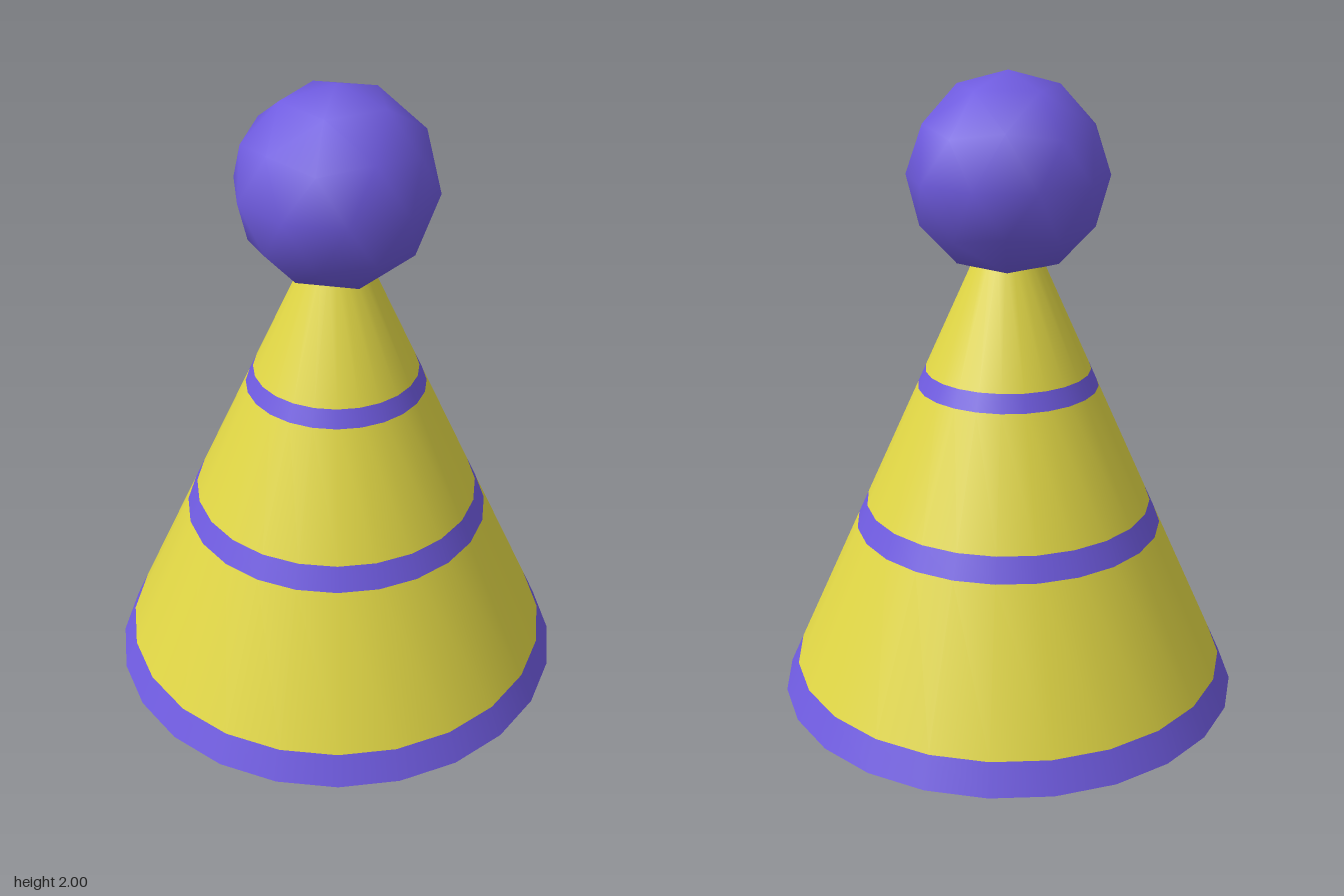
import * as THREE from 'three';

const SIDES = 24;
const purple = new THREE.MeshStandardMaterial({ color: 0x6f5be0 });
const yellow = new THREE.MeshStandardMaterial({ color: 0xe0d645 });

// Radius of the cone's outer wall at height y
const radiusAt = (y) => 0.743 - 0.446 * y;

function addMesh(group, name, geometry, material) {
  const mesh = new THREE.Mesh(geometry, material);
  mesh.name = name;
  group.add(mesh);
  return mesh;
}

// Surface of revolution between two [radius, height] points
const ring = (a, b) =>
  new THREE.LatheGeometry([new THREE.Vector2(...a), new THREE.Vector2(...b)], SIDES);

export function createModel() {
  const hat = new THREE.Group();
  hat.name = 'partyHat';

  // Outer wall: purple and yellow bands in turn, flush with each other
  const bands = [
    ['brimStripe', 0, 0.095, purple],
    ['lowerBand', 0.095, 0.565, yellow],
    ['middleStripe', 0.565, 0.64, purple],
    ['middleBand', 0.64, 1.025, yellow],
    ['upperStripe', 1.025, 1.08, purple],
    ['upperBand', 1.08, 1.45, yellow],
  ];
  for (const [name, y0, y1, material] of bands) {
    addMesh(hat, name, ring([radiusAt(y0), y0], [radiusAt(y1), y1]), material);
  }

  // Flat bottom rim and hollow inside
  const innerRadius = 0.67;
  addMesh(hat, 'bottomRim', ring([innerRadius, 0], [radiusAt(0), 0]), purple);
  addMesh(hat, 'innerLining', ring([0, 1.45], [innerRadius, 0]), purple);

  // Pompom: smooth icosphere turned so that one corner points up
  const ball = new THREE.IcosahedronGeometry(0.31, 1);
  ball.rotateZ(-Math.atan(2 / (1 + Math.sqrt(5))));
  addMesh(hat, 'pompom', ball, purple).position.y = 1.69;

  return hat;
}
